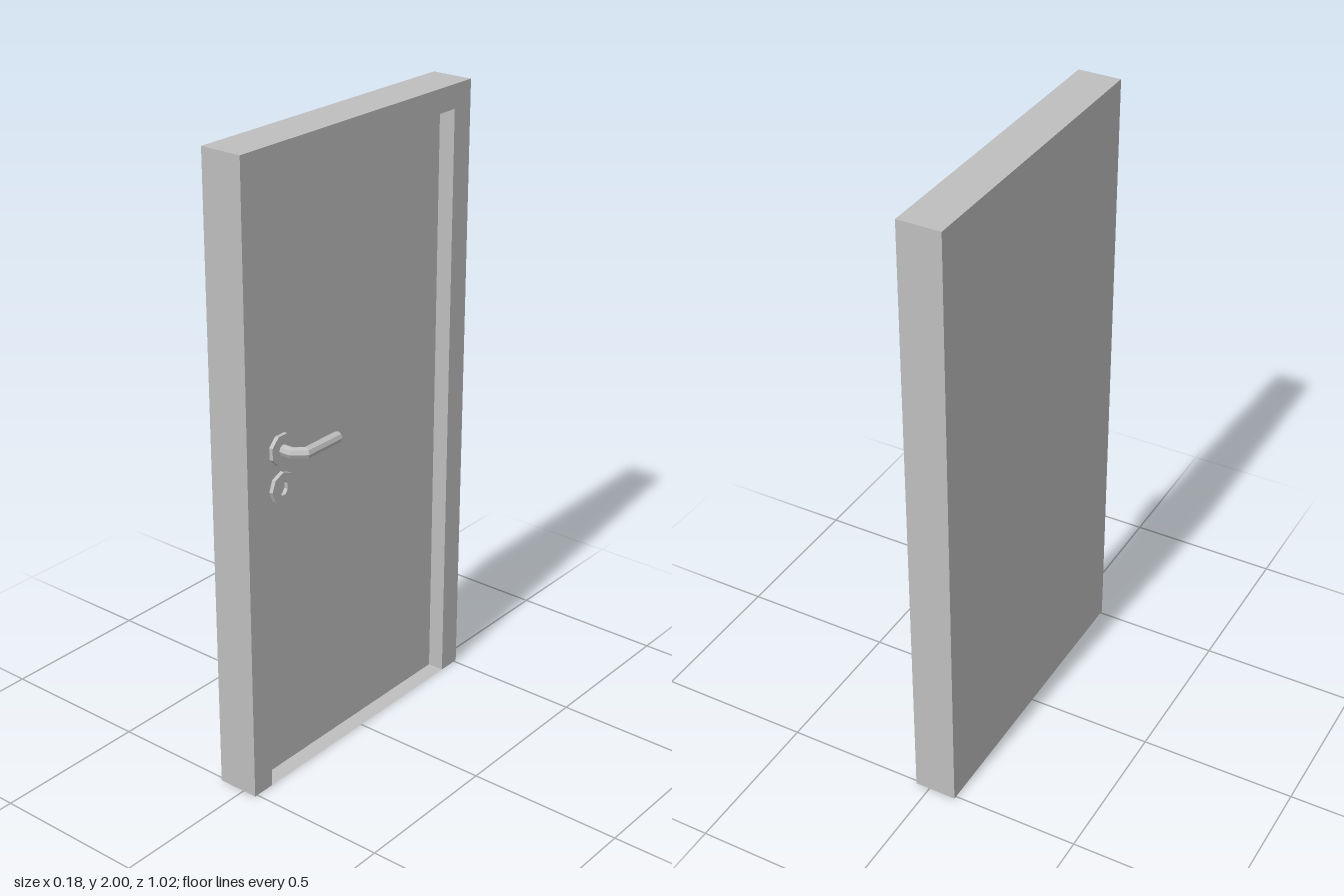
import * as THREE from 'three';

const grey = new THREE.MeshStandardMaterial({ color: 0xbebebe, side: THREE.DoubleSide });
grey.name = 'plain grey';
grey.flatShading = true;

const BACK = -0.09, FRONT = 0.047, PANEL = -0.007; // depths along x
const W = 0.51, H = 2, OW = 0.432, OH = 1.925; // half widths and heights of frame and opening
const LOCK_Z = 0.31, HANDLE_Y = 1.072, KEY_Y = 0.95;

function add(group, name, geometry) {
  const mesh = new THREE.Mesh(geometry, grey);
  mesh.name = name;
  group.add(mesh);
  return mesh;
}

// Flat four-cornered face, corners counter-clockwise from outside
function quad(a, b, c, d) {
  const g = new THREE.BufferGeometry();
  g.setAttribute('position', new THREE.Float32BufferAttribute([a, b, c, d].flat(), 3));
  g.setIndex([0, 1, 2, 0, 2, 3]);
  g.computeVertexNormals();
  return g;
}

// Eight points of an octagon, optionally stretched and turned
function octagon(rx, ry, turn = 0) {
  return Array.from({ length: 8 }, (_, i) => {
    const a = turn + (i * Math.PI) / 4;
    return new THREE.Vector2(rx * Math.cos(a), ry * Math.sin(a));
  });
}

// Round plate facing +x
function rosette(group, name, y, turn, hole) {
  const shape = new THREE.Shape(octagon(0.05, 0.05, turn));
  if (hole) shape.holes.push(new THREE.Path(hole));
  const g = new THREE.ExtrudeGeometry(shape, { depth: 0.013, bevelEnabled: false });
  g.rotateY(Math.PI / 2);
  add(group, name, g).position.set(PANEL, y, LOCK_Z);
}

// Eight-sided bar with mitred bends along a path of [x, z] points
function mitredBar(path, r) {
  const pts = path.map(p => new THREE.Vector2(...p));
  const pos = [], idx = [], n = 8;
  pts.forEach((p, i) => {
    const before = pts[Math.max(i - 1, 0)], after = pts[Math.min(i + 1, pts.length - 1)];
    const d1 = (i ? p.clone().sub(before) : after.clone().sub(p)).normalize();
    const d2 = (i < pts.length - 1 ? after.clone().sub(p) : d1.clone()).normalize();
    const t = d1.clone().add(d2).normalize();
    const s = r / t.dot(d1);
    for (let k = 0; k < n; k++) {
      const a = (k * 2 * Math.PI) / n;
      pos.push(p.x - t.y * s * Math.cos(a), r * Math.sin(a), p.y + t.x * s * Math.cos(a));
      if (i) {
        const c = i * n + k, e = i * n + ((k + 1) % n);
        idx.push(c - n, c, e - n, e - n, c, e);
      }
    }
  });
  // Free end cap
  const last = (pts.length - 1) * n;
  for (let k = 1; k < n - 1; k++) idx.push(last, last + k + 1, last + k);
  // Wind outward: check the first face against the bar's centre line
  const g = new THREE.BufferGeometry();
  g.setAttribute('position', new THREE.Float32BufferAttribute(pos, 3));
  const v = i => new THREE.Vector3().fromArray(pos, i * 3);
  const normal = v(idx[1]).sub(v(idx[0])).cross(v(idx[2]).sub(v(idx[0])));
  const outward = v(idx[0]).sub(new THREE.Vector3(pts[0].x, 0, pts[0].y));
  if (normal.dot(outward) < 0) for (let i = 0; i < idx.length; i += 3) [idx[i], idx[i + 1]] = [idx[i + 1], idx[i]];
  // Cap must face along the path
  const c0 = idx.length - (n - 2) * 3;
  const capN = v(idx[c0 + 1]).sub(v(idx[c0])).cross(v(idx[c0 + 2]).sub(v(idx[c0])));
  const dir = pts.at(-1).clone().sub(pts.at(-2));
  if (capN.x * dir.x + capN.z * dir.y < 0)
    for (let i = c0; i < idx.length; i += 3) [idx[i], idx[i + 1]] = [idx[i + 1], idx[i]];
  g.setIndex(idx);
  const flat = g.toNonIndexed();
  flat.computeVertexNormals();
  return flat;
}

export function createModel() {
  const door = new THREE.Group();
  door.name = 'door';

  // Hollow frame, open underneath
  const frame = new THREE.Group();
  frame.name = 'frame';
  door.add(frame);
  add(frame, 'backFace', quad([BACK, 0, -W], [BACK, 0, W], [BACK, H, W], [BACK, H, -W]));
  add(frame, 'topFace', quad([BACK, H, W], [FRONT, H, W], [FRONT, H, -W], [BACK, H, -W]));
  add(frame, 'leftSide', quad([BACK, 0, W], [FRONT, 0, W], [FRONT, H, W], [BACK, H, W]));
  add(frame, 'rightSide', quad([FRONT, 0, -W], [BACK, 0, -W], [BACK, H, -W], [FRONT, H, -W]));

  // Face of the frame around the opening
  const outline = [[-W, 0], [-OW, 0], [-OW, OH], [OW, OH], [OW, 0], [W, 0], [W, H], [-W, H]];
  const surround = new THREE.ShapeGeometry(new THREE.Shape(outline.map(p => new THREE.Vector2(...p))));
  surround.rotateY(Math.PI / 2);
  add(frame, 'surround', surround).position.x = FRONT;

  // Reveal around the recessed door leaf
  add(frame, 'leftReveal', quad([FRONT, 0, OW], [PANEL, 0, OW], [PANEL, OH, OW], [FRONT, OH, OW]));
  add(frame, 'rightReveal', quad([PANEL, 0, -OW], [FRONT, 0, -OW], [FRONT, OH, -OW], [PANEL, OH, -OW]));
  add(frame, 'headReveal', quad([PANEL, OH, -OW], [FRONT, OH, -OW], [FRONT, OH, OW], [PANEL, OH, OW]));
  add(frame, 'sill', quad([PANEL, 0, OW], [FRONT, 0, OW], [FRONT, 0, -OW], [PANEL, 0, -OW]));
  add(door, 'doorLeaf', quad([PANEL, 0, OW], [PANEL, 0, -OW], [PANEL, OH, -OW], [PANEL, OH, OW]));

  // Lever handle and key plate
  const fittings = new THREE.Group();
  fittings.name = 'fittings';
  door.add(fittings);
  rosette(fittings, 'handlePlate', HANDLE_Y, Math.PI / 8);
  rosette(fittings, 'keyPlate', KEY_Y, 0, octagon(0.018, 0.025, Math.PI / 8));
  const lever = mitredBar([[PANEL, LOCK_Z], [0.038, LOCK_Z], [0.07, 0.282], [0.07, 0.14]], 0.0175);
  add(fittings, 'leverHandle', lever).position.y = HANDLE_Y;

  return door;
}
